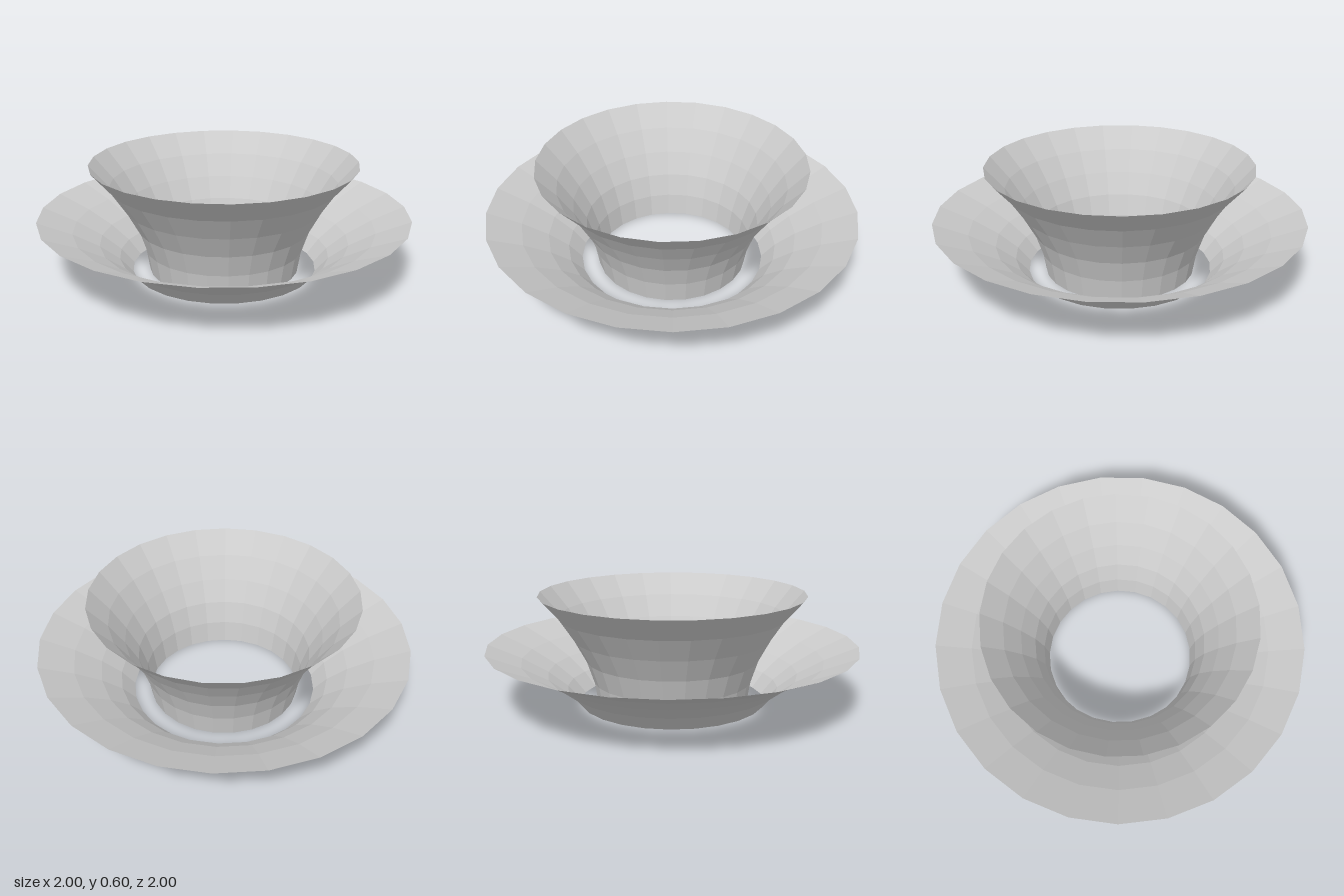
import * as THREE from 'three';

const SIDES = 25;

// Open, faceted flared ring turned from a [radius, height] profile
function flaredRing(name, profile, turnDegrees, material) {
  const points = profile.map(([r, y]) => new THREE.Vector2(r, y));
  const geometry = new THREE.LatheGeometry(points, SIDES, THREE.MathUtils.degToRad(turnDegrees)).toNonIndexed();
  geometry.computeVertexNormals();
  const mesh = new THREE.Mesh(geometry, material);
  mesh.name = name;
  return mesh;
}

export function createModel() {
  const group = new THREE.Group();
  group.name = 'flaredRings';
  const material = new THREE.MeshStandardMaterial({
    color: 0xcccccc, flatShading: true, side: THREE.DoubleSide,
  });

  // Tall inner funnel, open at both ends
  const inner = flaredRing('innerFunnel', [
    [0.41, 0], [0.43, 0.12], [0.47, 0.24], [0.535, 0.36], [0.615, 0.48], [0.72, 0.6],
  ], 9.6, material);

  // Wide, shallow outer funnel with a gap around the inner one
  const outer = flaredRing('outerFunnel', [
    [0.505, 0.005], [0.575, 0.085], [0.68, 0.165], [0.82, 0.243], [1.002, 0.32],
  ], 0, material);

  group.add(inner, outer);
  // Centre the odd-sided outline front to back
  inner.position.z = outer.position.z = -0.004;
  return group;
}
